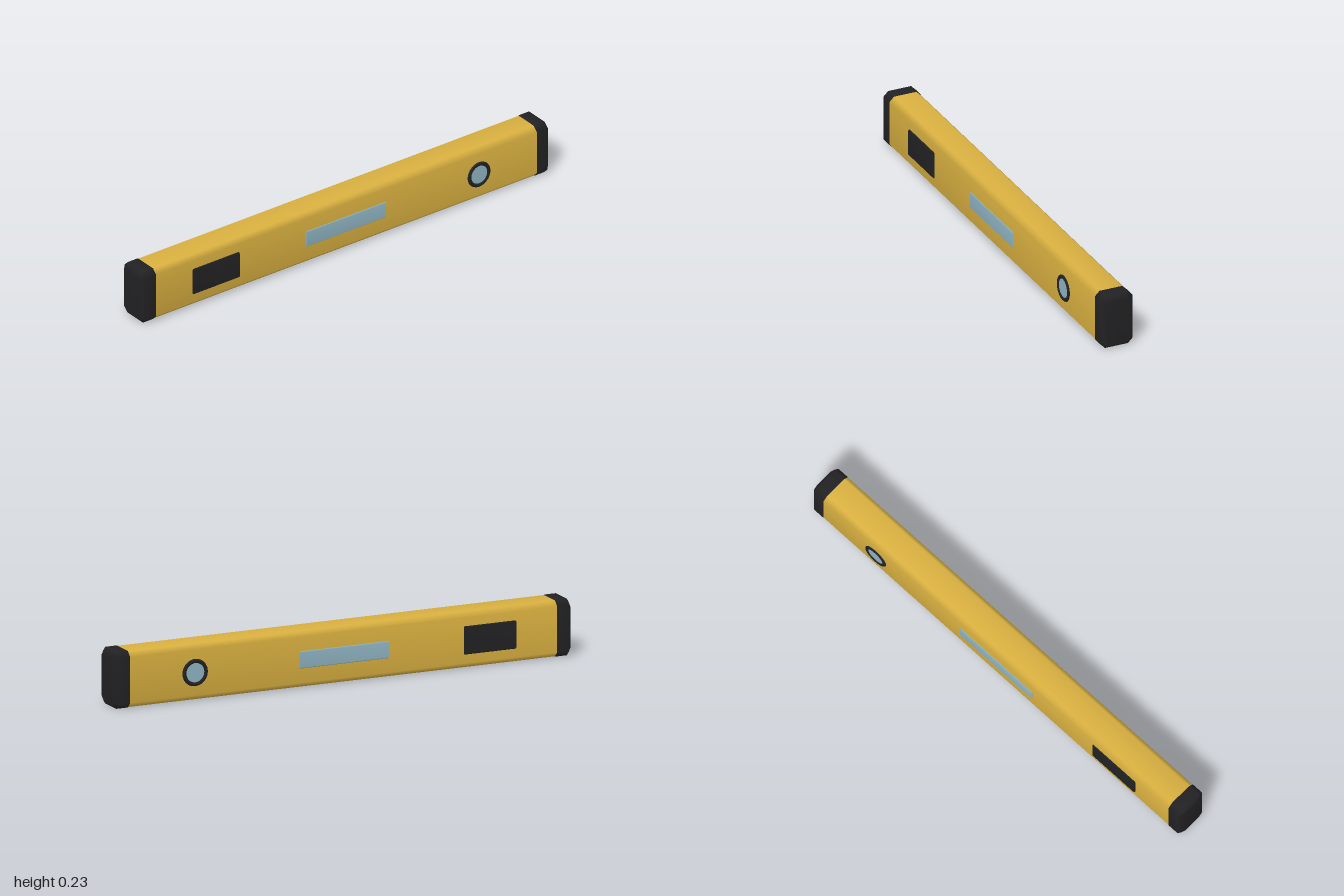
import * as THREE from 'three';

const MID = 0.115; // height of the centre line

// Smooth-shaded bar along x: an octagonal section (height h, depth d, corner
// chamfer c), with its two ends bevelled by b.
function chamferedBar(w, h, d, c, b) {
  const section = (inset) => {
    const y = h / 2 - inset, z = d / 2 - inset;
    return [
      [y - c, z], [y, z - c], [y, c - z], [y - c, -z],
      [c - y, -z], [-y, c - z], [-y, z - c], [c - y, z],
    ];
  };
  const rings = [[-w / 2, b], [-w / 2 + b, 0], [w / 2 - b, 0], [w / 2, b]];
  const pos = [], idx = [];
  for (const [x, inset] of rings) {
    for (const [y, z] of section(inset)) pos.push(x, y, z);
  }
  for (let r = 0; r < 3; r++) {
    for (let i = 0; i < 8; i++) {
      const a = r * 8 + i, n = r * 8 + (i + 1) % 8;
      idx.push(a, a + 8, n, n, a + 8, n + 8);
    }
  }
  // End faces
  for (let i = 1; i < 7; i++) {
    idx.push(0, i, i + 1);
    idx.push(24, 24 + i + 1, 24 + i);
  }
  const g = new THREE.BufferGeometry();
  g.setAttribute('position', new THREE.Float32BufferAttribute(pos, 3));
  g.setIndex(idx);
  g.computeVertexNormals();
  return g;
}

export function createModel() {
  const yellow = new THREE.MeshStandardMaterial({ color: 0xd9b040 });
  yellow.name = 'yellow paint';
  const black = new THREE.MeshStandardMaterial({ color: 0x222224 });
  black.name = 'black rubber';
  const glass = new THREE.MeshStandardMaterial({ color: 0x8fb4c2 });
  glass.name = 'blue glass';

  const group = new THREE.Group();
  group.name = 'spiritLevel';
  const add = (name, geometry, material, x, z = 0) => {
    const mesh = new THREE.Mesh(geometry, material);
    mesh.name = name;
    mesh.position.set(x, MID, z);
    group.add(mesh);
    return mesh;
  };

  // Long body and its end caps
  add('body', chamferedBar(1.88, 0.227, 0.138, 0.02, 0.002), yellow, 0);
  for (const s of [-1, 1]) {
    add(s > 0 ? 'leftEndCap' : 'rightEndCap',
      chamferedBar(0.074, 0.23, 0.14, 0.02, 0.012), black, s * 0.963);
  }

  // Grip panel and centre vial, showing on both faces
  add('gripPanel', chamferedBar(0.23, 0.115, 0.15, 0.005, 0.003), black, -0.642);
  add('centreVial', chamferedBar(0.394, 0.07, 0.146, 0.004, 0.003), glass, -0.002);

  // Round vial running through the body, with a rim on each face
  const lens = add('roundVial', new THREE.CylinderGeometry(0.045, 0.045, 0.143, 32), glass, 0.652);
  lens.rotation.x = Math.PI / 2;
  for (const s of [-1, 1]) {
    add(s > 0 ? 'frontVialRim' : 'backVialRim',
      new THREE.TorusGeometry(0.047, 0.009, 12, 40), black, 0.652, s * 0.067);
  }

  return group;
}
